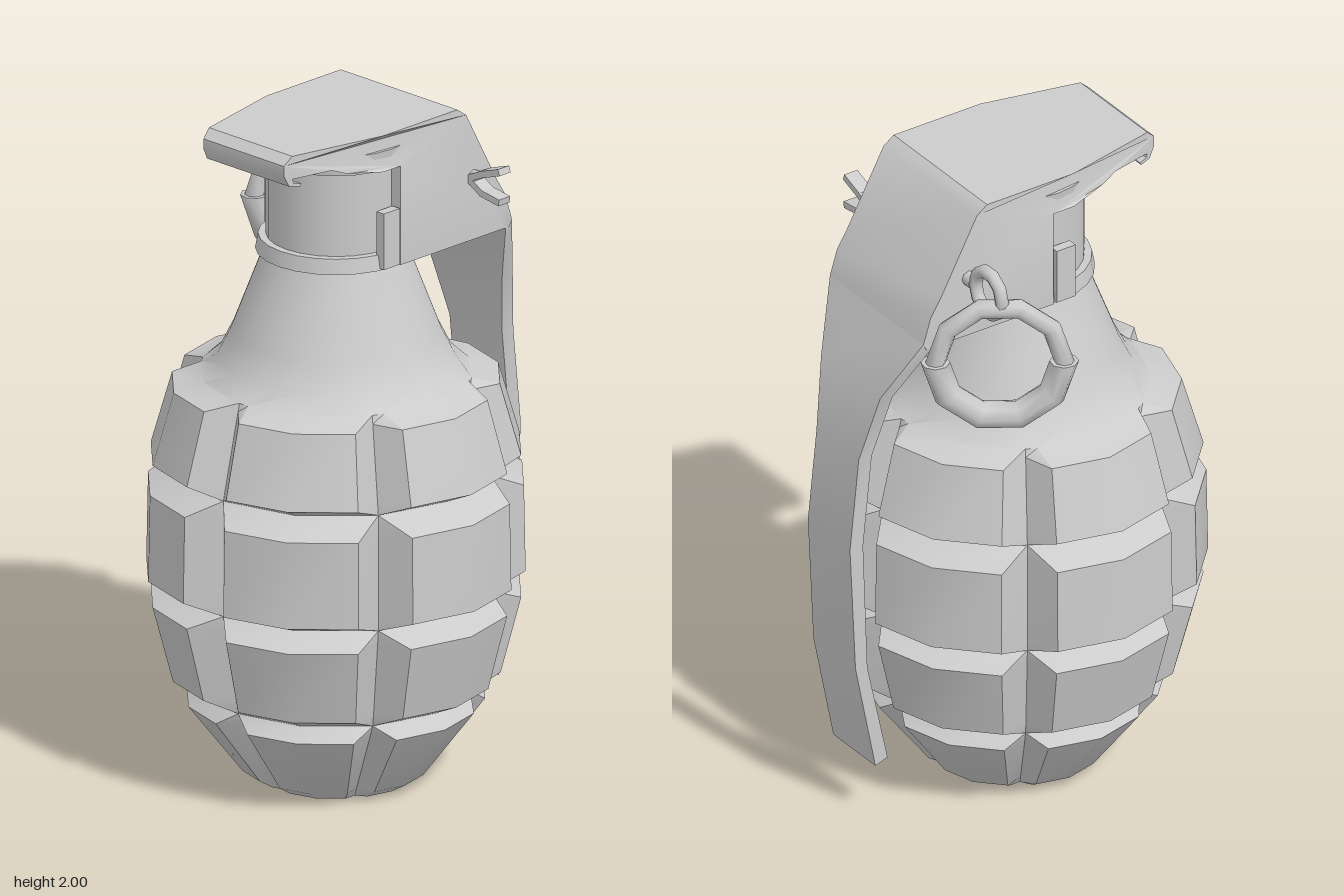
import * as THREE from 'three';
import { toCreasedNormals } from 'three/addons/utils/BufferGeometryUtils.js';

const ZC = 0.055; // axis of the body
const material = new THREE.MeshStandardMaterial({ color: 0xcccccc });
const sheet = new THREE.MeshStandardMaterial({ color: 0xcccccc, side: THREE.DoubleSide });

function add(parent, name, geometry, x = 0, y = 0, z = 0, mat = material) {
  const mesh = new THREE.Mesh(geometry, mat);
  mesh.name = name;
  mesh.position.set(x, y, z);
  parent.add(mesh);
  return mesh;
}

// Six-lobed shell with V-shaped grooves, drawn ring by ring up into the neck
function bodyGeometry() {
  // height, lobe radius, notch radius, angle from notch to lobe corner
  const rings = [
    [0.00, 0.225, 0.200, 8.5], [0.03, 0.275, 0.222, 8.5], [0.24, 0.435, 0.368, 8.5],
    [0.28, 0.395, 0.395, 0],
    [0.32, 0.48, 0.404, 8.5], [0.55, 0.54, 0.448, 8.5],
    [0.59, 0.455, 0.455, 0],
    [0.63, 0.553, 0.455, 8.5], [0.89, 0.548, 0.455, 8.5],
    [0.94, 0.455, 0.455, 0],
    [0.98, 0.54, 0.446, 8.5], [1.195, 0.478, 0.396, 8.5],
    [1.22, 0.39, 0.39, 5],
    [1.27, 0.337, 0.337, 15], [1.345, 0.30, 0.30, 15], [1.60, 0.203, 0.203, 15],
  ];
  const N = 24, pos = [], index = [];
  for (const [y, lobe, notch, corner] of rings) {
    for (let s = 0; s < 6; s++) {
      const edge = lobe === notch ? lobe : lobe * 0.98;
      for (const [deg, r] of [[0, notch], [corner, edge], [30, lobe], [60 - corner, edge]]) {
        const a = THREE.MathUtils.degToRad(s * 60 + deg);
        pos.push(r * Math.sin(a), y, ZC + r * Math.cos(a));
      }
    }
  }
  const center = pos.length / 3;
  pos.push(0, 0, ZC);
  for (let j = 0; j < N; j++) {
    const k = (j + 1) % N;
    index.push(center, k, j);
    for (let i = 0; i < rings.length - 1; i++) {
      const a = i * N, b = a + N;
      index.push(a + j, a + k, b + k, a + j, b + k, b + j);
    }
  }
  const g = new THREE.BufferGeometry();
  g.setAttribute('position', new THREE.Float32BufferAttribute(pos, 3));
  g.setIndex(index);
  return toCreasedNormals(g, 0.55);
}

// Lever head: side outline (z, y) extruded across x, narrowing toward the front lip
function leverHeadGeometry() {
  const outline = [
    [0.03, 1.59], [0.03, 1.89], [0.1, 1.89], [0.22, 1.91], [0.27, 1.93], [0.40, 1.93],
    [0.395, 1.918], [0.37, 1.912], [0.375, 1.903], [0.41, 1.91], [0.428, 1.945], [0.428, 1.975],
    [0.40, 2.0], [0.1, 2.0], [-0.20, 2.0], [-0.235, 1.975], [-0.36, 1.745],
    [-0.395, 1.69], [-0.42, 1.61], [-0.41, 1.59],
  ];
  const shape = new THREE.Shape(outline.map(([z, y]) => new THREE.Vector2(z, y)));
  const g = new THREE.ExtrudeGeometry(shape, { depth: 1, bevelEnabled: false });
  g.translate(0, 0, -0.5).rotateY(-Math.PI / 2);
  const p = g.attributes.position;
  for (let i = 0; i < p.count; i++) {
    const t = THREE.MathUtils.clamp((p.getZ(i) - 0.1) / 0.33, 0, 1);
    p.setX(i, Math.sign(p.getX(i)) * (0.233 - 0.073 * t));
  }
  return toCreasedNormals(g, 0.5);
}

// Lever strap: a subdivided box bent to the curve of the body
function leverStrapGeometry() {
  // outer y, outer z, inner y, inner z, half width
  const rows = [
    [0.175, -0.497, 0.19, -0.455, 0.105], [0.52, -0.566, 0.51, -0.525, 0.105],
    [0.92, -0.585, 0.92, -0.54, 0.105], [1.21, -0.555, 1.21, -0.51, 0.105],
    [1.42, -0.51, 1.41, -0.468, 0.147], [1.61, -0.42, 1.585, -0.395, 0.233],
    [1.68, -0.395, 1.66, -0.36, 0.233],
  ];
  const n = rows.length - 1;
  const g = new THREE.BoxGeometry(2, n, 1, 1, n, 1);
  const p = g.attributes.position;
  for (let i = 0; i < p.count; i++) {
    const [yo, zo, yi, zi, w] = rows[Math.round(p.getY(i) + n / 2)];
    const outer = p.getZ(i) < 0;
    p.setXYZ(i, p.getX(i) * w, outer ? yo : yi, outer ? zo : zi);
  }
  return toCreasedNormals(g, 0.5);
}

export function createModel() {
  const model = new THREE.Group();
  model.name = 'grenade';

  add(model, 'body', bodyGeometry());

  // Fuse neck
  const fuse = new THREE.Group();
  fuse.name = 'fuse';
  model.add(fuse);
  add(fuse, 'neck', new THREE.CylinderGeometry(0.2, 0.2, 0.32, 24), 0, 1.74, ZC);
  add(fuse, 'collar', new THREE.CylinderGeometry(0.222, 0.23, 0.045, 24), 0, 1.613, ZC);
  add(fuse, 'flange', new THREE.CylinderGeometry(0.222, 0.215, 0.06, 24), 0, 1.915, ZC);
  for (const s of [-1, 1]) {
    add(fuse, 'sideTab', new THREE.BoxGeometry(0.03, 0.17, 0.065), s * 0.223, 1.68, 0.07);
  }

  // Safety lever
  const lever = new THREE.Group();
  lever.name = 'lever';
  model.add(lever);
  add(lever, 'leverHead', leverHeadGeometry());
  add(lever, 'leverStrap', leverStrapGeometry());

  // Split pin with two spread prongs
  const pin = new THREE.Group();
  pin.name = 'pin';
  model.add(pin);
  add(pin, 'pinShaft', new THREE.CylinderGeometry(0.022, 0.022, 0.52, 8).rotateZ(Math.PI / 2), -0.005, 1.78, -0.265);
  const prong = (x0, y0, x1, y1) => {
    const bar = add(pin, 'prong', new THREE.BoxGeometry(Math.hypot(x1 - x0, y1 - y0) + 0.008, 0.02, 0.045),
      (x0 + x1) / 2, (y0 + y1) / 2, -0.265);
    bar.rotation.z = Math.atan2(y1 - y0, x1 - x0);
  };
  prong(0.22, 1.775, 0.285, 1.805);
  prong(0.285, 1.805, 0.352, 1.828);
  prong(0.22, 1.785, 0.285, 1.748);
  prong(0.285, 1.748, 0.352, 1.738);
  add(pin, 'pinEye', new THREE.TorusGeometry(0.066, 0.02, 8, 10), -0.335, 1.78, -0.265);

  // Pull ring: thin upper arc pushed into a thicker lower sleeve
  const ring = new THREE.Group();
  ring.name = 'pullRing';
  ring.position.set(-0.39, 1.58, -0.265);
  ring.rotation.y = 0.99;
  model.add(ring);
  const R = 0.183;
  add(ring, 'ringWire', new THREE.TorusGeometry(R, 0.029, 8, 10), 0, 0, 0);
  const sleeve = new THREE.TorusGeometry(R, 0.042, 8, 5, Math.PI).rotateZ(Math.PI);
  add(ring, 'ringSleeve', sleeve, 0, 0, 0, sheet);
  for (const s of [-1, 1]) {
    add(ring, 'sleeveEnd', new THREE.CircleGeometry(0.042, 8).rotateX(-Math.PI / 2), s * R, 0, 0);
  }

  return model;
}
